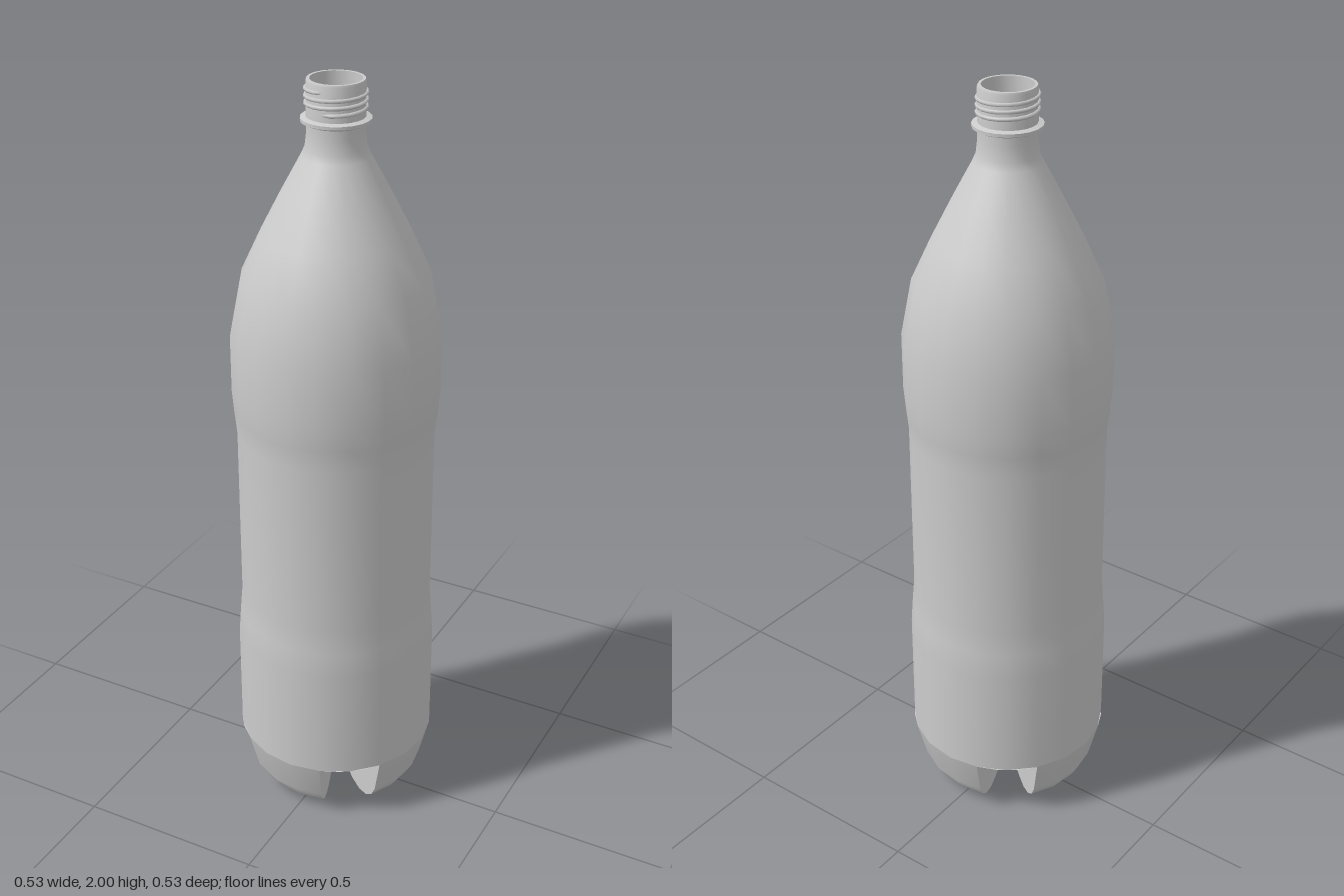
import * as THREE from 'three';
import { toCreasedNormals } from 'three/addons/utils/BufferGeometryUtils.js';

const SIDES = 20;
const STEP = (Math.PI * 2) / SIDES;
const R = 0.267;        // widest radius
const FOOT_TOP = 0.17;  // height of the notches between the feet

export function createModel() {
  const bottle = new THREE.Group();
  bottle.name = 'bottle';
  const material = new THREE.MeshStandardMaterial({ color: 0xcccccc });
  const thin = new THREE.MeshStandardMaterial({ color: 0xcccccc, side: THREE.DoubleSide });

  const add = (name, geometry, mat = material, parent = bottle) => {
    const mesh = new THREE.Mesh(geometry, mat);
    mesh.name = name;
    parent.add(mesh);
    return mesh;
  };
  const points = (list) => list.map(([r, y]) => new THREE.Vector2(r, y));
  const lathe = (list) => new THREE.LatheGeometry(points(list), SIDES);

  // Body: straight base, slightly waisted label area, tapering shoulder
  add('body', lathe([
    [R, FOOT_TOP], [R, 0.48], [0.262, 0.55], [0.256, 0.62], [0.256, 1.09],
    [0.262, 1.15], [R, 1.21], [R, 1.36], [0.238, 1.51], [0.187, 1.62],
    [0.136, 1.72], [0.085, 1.815], [0.076, 1.835], [0.072, 1.87], [0.072, 1.9],
  ]));

  // Neck: outer wall, rounded lip, inner wall and inner floor
  add('neck', toCreasedNormals(lathe([
    [0.072, 1.9], [0.072, 1.995], [0.07, 2], [0.063, 2], [0.063, 1.82], [0, 1.82],
  ]), 0.6));

  // Support ring below the thread
  add('neckRing', toCreasedNormals(lathe([
    [0.07, 1.893], [0.086, 1.9], [0.086, 1.908], [0.07, 1.912],
  ]), 0.6));

  // Screw thread: a helix of three turns that sinks into the neck at both ends
  const turns = 3;
  const helix = [];
  for (let i = 0; i <= turns * SIDES; i++) {
    const end = i === 0 || i === turns * SIDES;
    const r = end ? 0.067 : 0.073;
    helix.push(new THREE.Vector3(
      r * Math.sin(i * STEP), 1.928 + (0.052 * i) / (turns * SIDES), r * Math.cos(i * STEP)));
  }
  add('thread', new THREE.TubeGeometry(new THREE.CatmullRomCurve3(helix), turns * SIDES, 0.005, 6));

  // Base: four feet, three sides wide, parted by wedge notches two sides wide
  const footProfile = [
    [0, 0.04], [0.06, 0.027], [0.11, 0.006], [0.15, 0], [0.19, 0.011],
    [0.222, 0.036], [0.241, 0.068], [R, FOOT_TOP],
  ];
  const wallShape = new THREE.Shape(points([...footProfile, [0, FOOT_TOP]]));
  for (let k = 0; k < 4; k++) {
    const foot = new THREE.Group();
    foot.name = 'foot' + (k + 1);
    foot.rotation.y = (k * Math.PI) / 2;
    bottle.add(foot);

    add('footShell', new THREE.LatheGeometry(points(footProfile), 3, 3 * STEP, 3 * STEP), material, foot);
    // Flat radial walls on both sides of the foot
    for (const side of [3, 6]) {
      add('notchWall', new THREE.ShapeGeometry(wallShape), thin, foot)
        .rotation.y = side * STEP - Math.PI / 2;
    }
    // Flat ceiling of the neighbouring notch
    add('notchCeiling', new THREE.CircleGeometry(R, 2, 2 * STEP, 2 * STEP), thin, foot)
      .rotation.set(Math.PI / 2, 0, 0);
    foot.children[foot.children.length - 1].position.y = FOOT_TOP;
  }
  return bottle;
}
